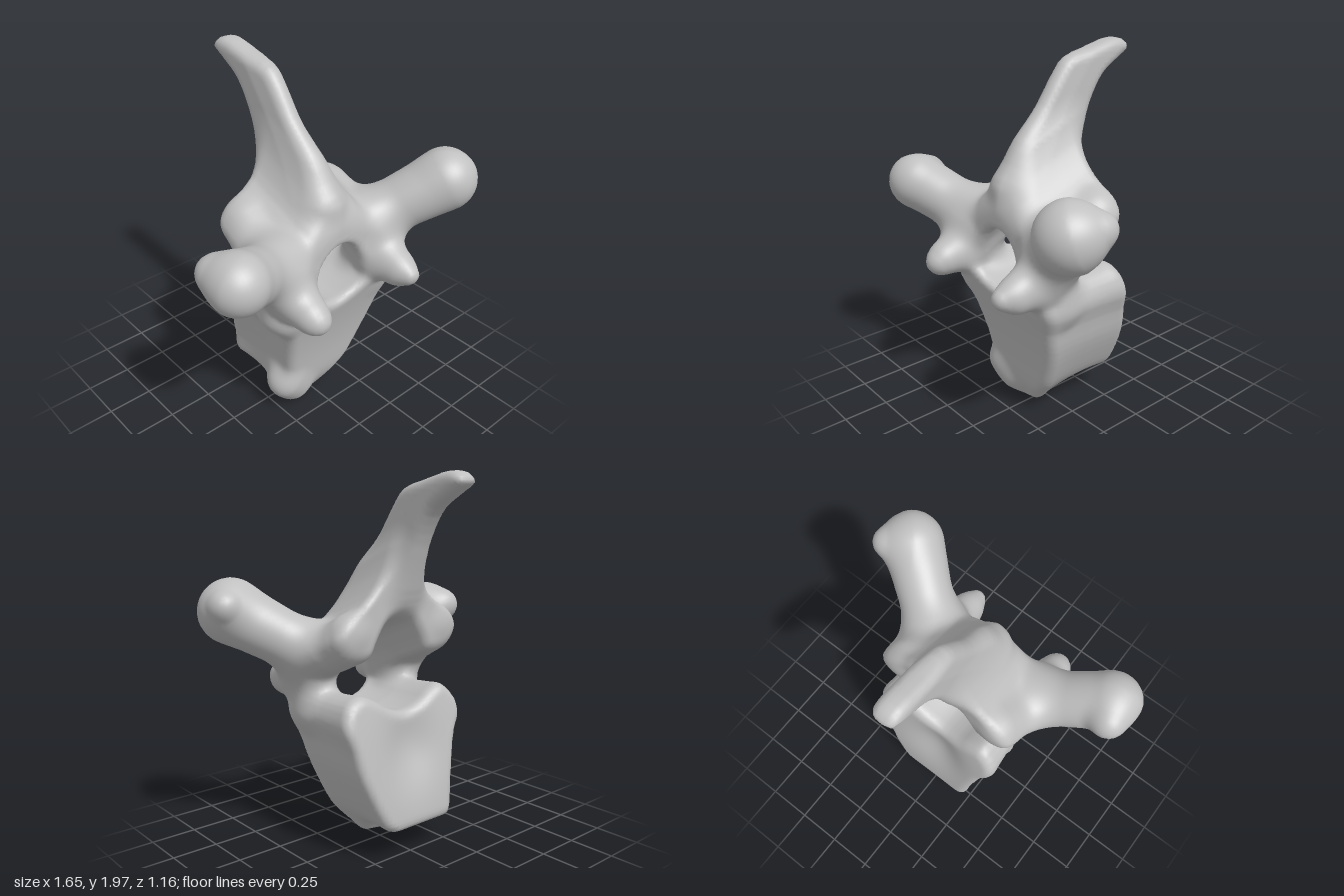
import * as THREE from 'three';

const bone = new THREE.MeshStandardMaterial({ color: 0xc0c0c0 });
bone.name = 'bone grey';

// ---- distance helpers: every part is a rounded solid, blended into its neighbours ----
const smin = (a, b, k) => {
  const h = Math.max(k - Math.abs(a - b), 0) / k;
  return Math.min(a, b) - h * h * k * 0.25;
};
const smax = (a, b, k) => -smin(-a, -b, k);

// closed smooth curve through a few points
const smooth = (pts) => new THREE.CatmullRomCurve3(
  pts.map(([x, y]) => new THREE.Vector3(x, y, 0)), true).getPoints(pts.length * 3).slice(1);

// signed distance to a closed 2D outline
function outline(pts, px, py) {
  let d = Infinity, inside = false;
  for (let i = 0, j = pts.length - 1; i < pts.length; j = i++) {
    const a = pts[i], b = pts[j];
    const ex = b.x - a.x, ey = b.y - a.y, wx = px - a.x, wy = py - a.y;
    const t = Math.min(1, Math.max(0, (wx * ex + wy * ey) / (ex * ex + ey * ey)));
    d = Math.min(d, (wx - ex * t) ** 2 + (wy - ey * t) ** 2);
    if ((a.y > py) !== (b.y > py) && px < (ex * wy) / ey + a.x) inside = !inside;
  }
  return (inside ? -1 : 1) * Math.sqrt(d);
}

// outline distance d given a thickness (distance t from the mid plane, half depth h, edge radius r)
function slab(d, t, h, r) {
  const a = d + r, b = Math.abs(t) - h + r;
  return Math.min(Math.max(a, b), 0) + Math.hypot(Math.max(a, 0), Math.max(b, 0)) - r;
}

// tapered rod between two points
function rod([ax, ay, az], ra, [bx, by, bz], rb) {
  const ex = bx - ax, ey = by - ay, ez = bz - az, l2 = ex * ex + ey * ey + ez * ez;
  return (x, y, z) => {
    const t = Math.min(1, Math.max(0, ((x - ax) * ex + (y - ay) * ey + (z - az) * ez) / l2));
    return Math.hypot(x - ax - ex * t, y - ay - ey * t, z - az - ez * t) - ra - (rb - ra) * t;
  };
}

// ---- outlines ----
const bodyOutline = smooth([
  [0, 0.8], [0.1, 0.83], [0.2, 0.89], [0.28, 0.92], [0.38, 0.88], [0.425, 0.77], [0.39, 0.64],
  [0.36, 0.5], [0.3, 0.35], [0.23, 0.22], [0.13, 0.11], [0.06, 0.03], [-0.03, 0], [-0.17, 0.04],
  [-0.24, 0.14], [-0.265, 0.33], [-0.3, 0.5], [-0.33, 0.62], [-0.38, 0.72], [-0.37, 0.81],
  [-0.27, 0.91], [-0.18, 0.88], [-0.1, 0.83]]);
const spineOutline = smooth([
  [0.26, 1.34], [0.2, 1.43], [0.14, 1.55], [0, 1.71], [-0.1, 1.85], [-0.17, 1.925],
  [-0.33, 1.965], [-0.5, 2.0], [-0.56, 1.985], [-0.59, 1.945], [-0.5, 1.885], [-0.4, 1.82],
  [-0.32, 1.7], [-0.25, 1.53], [-0.18, 1.39], [-0.1, 1.34], [0.1, 1.31]]);
const archHalf = [
  [0.08, 1.16], [0.15, 1.06], [0.2, 0.98], [0.34, 0.99], [0.41, 1.09], [0.36, 1.17],
  [0.2, 1.3], [0.1, 1.42]];
const archOutline = smooth([[0, 1.19], ...archHalf, [0, 1.53],
  ...archHalf.map(([x, y]) => [-x, y]).reverse()]);

// ---- parts: name, distance, blend width ----
const parts = [];
const add = (name, k, f) => parts.push({ name, k, f, pos: [], nor: [] });

// heart-shaped block, leaning forward at the top, waisted, with a dished back face
// and an underside that drops to a lip at the front
add('vertebralBody', 0.08, (x, y, z) => {
  const yy = y * Math.abs(y);
  const front = 0.175 + 0.24 * yy - 0.08 * Math.exp(-((y / 0.13) ** 2));
  const dish = 0.06 * Math.exp(-((x / 0.17) ** 2) - ((y - 0.6) / 0.2) ** 2);
  const back = -0.335 + 0.15 * yy + dish;
  const mid = (front + back) / 2, half = (front - back) / 2;
  const s = (z - mid) / half;
  const waist = 0.025 * Math.max(0, 1 - s * s) + 0.02 * Math.max(0, Math.min(s, 1)) * Math.min(1, y / 0.5);
  const d = slab(outline(bodyOutline, x, y) + waist, z - mid, half, 0.06);
  const floor = 0.19 * (1 - Math.exp(-Math.max(0, 0.09 - z) / 0.09));
  return smax(d, (floor - y) * 0.6, 0.04);
});
// lobe on the right of the lip
add('lowerLip', 0.08, rod([-0.21, 0.21, 0.1], 0.095, [-0.14, 0.14, 0.09], 0.09));
// tent-shaped arch roof, rising toward the back, its front face sloping into the spine
add('neuralArch', 0.1, (x, y, z) => {
  const d = slab(outline(archOutline, x, y - 0.4 * (0.1 - z)), z - 0.07, 0.245, 0.05);
  const slope = (z - 0.2 + 0.74 * (y - 1.44) + 0.35 * Math.abs(x)) / 1.29;
  return smax(d * 0.9, slope, 0.05);
});
// flat spine sweeping up and back, thinner along its front edge
add('spinousProcess', 0.12, (x, y, z) => {
  const behind = 0.2 - 0.74 * (y - 1.44) - z;
  const half = 0.05 + Math.min(0.018, Math.max(0, behind * 0.12));
  return slab(outline(spineOutline, z, y), x + 0.032, half, 0.048);
});

for (const s of [1, -1]) {
  const side = s > 0 ? 'left' : 'right';
  const tip = s > 0 ? [0.3, 0.915, 0.515] : [-0.3, 0.89, 0.48];
  add(side + 'Pedicle', 0.08, rod([s * 0.3, 0.78, 0.17], 0.1, [s * 0.315, 1.1, 0.2], 0.11));
  add(side + 'FrontFacet', 0.08, rod([s * 0.31, 0.98, 0.29], 0.115, tip, 0.05));
  add(side + 'FrontFacet', 0.06, rod([s * 0.3, 0.92, 0.3], 0.1, [s * 0.305, 0.9, 0.43], 0.085));
  add(side + 'BackFacet', 0.08, rod([s * 0.32, 1.12, 0.03], 0.095, [s * 0.3, 1.215, -0.09], 0.08));
}
// wing processes, uneven in height
add('leftTransverseProcess', 0.12, rod([0.38, 1.125, 0.2], 0.14, [0.65, 1.31, 0.41], 0.165));
add('leftTransverseProcess', 0.1, rod([0.67, 1.32, 0.38], 0.12, [0.755, 1.355, 0.3], 0.055));
add('rightTransverseProcess', 0.12, rod([-0.38, 1.085, 0.2], 0.14, [-0.66, 1.22, 0.34], 0.15));
add('rightTransverseProcess', 0.06, rod([-0.69, 1.23, 0.36], 0.125, [-0.72, 1.245, 0.24], 0.09));

function field(x, y, z) {
  let d = 9;
  for (const p of parts) d = smin(d, p.f(x, y, z), p.k);
  return d;
}

// ---- skin the blended solid with a regular lattice ----
function skin() {
  const step = 0.022, lo = [-0.92, -0.08, -0.68], n = [84, 99, 62];
  const stride = [1, n[0], n[0] * n[1]];
  const val = new Float32Array(n[0] * n[1] * n[2]);
  const each = (from, fn) => {
    for (let k = from; k < n[2] - 1; k++)
      for (let j = from; j < n[1] - 1; j++)
        for (let i = from; i < n[0] - 1; i++) fn([i, j, k], i + j * stride[1] + k * stride[2]);
  };
  val.fill(1);
  each(0, (c, id) => { val[id] = field(...c.map((v, a) => lo[a] + v * step)); });

  // one vertex per crossed cell, at the mean of its edge crossings
  const verts = new Map();
  each(0, (c, id) => {
    const sum = [0, 0, 0];
    let count = 0;
    for (let q = 0; q < 8; q++) for (let a = 0; a < 3; a++) {
      if (q >> a & 1) continue;
      const o = [q & 1, q >> 1 & 1, q >> 2 & 1];
      const i0 = id + o[0] + o[1] * stride[1] + o[2] * stride[2];
      const v0 = val[i0], v1 = val[i0 + stride[a]];
      if ((v0 < 0) === (v1 < 0)) continue;
      o[a] = v0 / (v0 - v1);
      for (let b = 0; b < 3; b++) sum[b] += o[b];
      count++;
    }
    if (!count) return;
    const p = c.map((v, a) => lo[a] + (v + sum[a] / count) * step);
    const e = 0.015, [x, y, z] = p;
    const normal = new THREE.Vector3(
      field(x + e, y, z) - field(x - e, y, z),
      field(x, y + e, z) - field(x, y - e, z),
      field(x, y, z + e) - field(x, y, z - e)).normalize().toArray();
    verts.set(id, { p, normal });
  });

  // one quad per crossed edge, handed to the nearest part
  each(1, (c, id) => {
    for (let a = 0; a < 3; a++) {
      const inside = val[id] < 0;
      if (inside === (val[id + stride[a]] < 0)) continue;
      const b = stride[(a + 1) % 3], d = stride[(a + 2) % 3];
      const quad = [id - b - d, id - d, id, id - b].map((i) => verts.get(i));
      if (!inside) quad.reverse();
      let owner = parts[0], best = Infinity;
      for (const part of parts) {
        const dist = part.f(...quad[0].p);
        if (dist < best) { best = dist; owner = part; }
      }
      for (const i of [0, 1, 2, 0, 2, 3]) {
        owner.pos.push(...quad[i].p);
        owner.nor.push(...quad[i].normal);
      }
    }
  });
}

export function createModel() {
  const model = new THREE.Group();
  model.name = 'vertebra';
  for (const p of parts) p.pos = [], p.nor = [];
  skin();
  for (const { name, pos, nor } of parts) {
    if (!pos.length) continue;
    const g = new THREE.BufferGeometry();
    g.setAttribute('position', new THREE.Float32BufferAttribute(pos, 3));
    g.setAttribute('normal', new THREE.Float32BufferAttribute(nor, 3));
    const mesh = new THREE.Mesh(g, bone);
    mesh.name = name;
    model.add(mesh);
  }
  return model;
}
